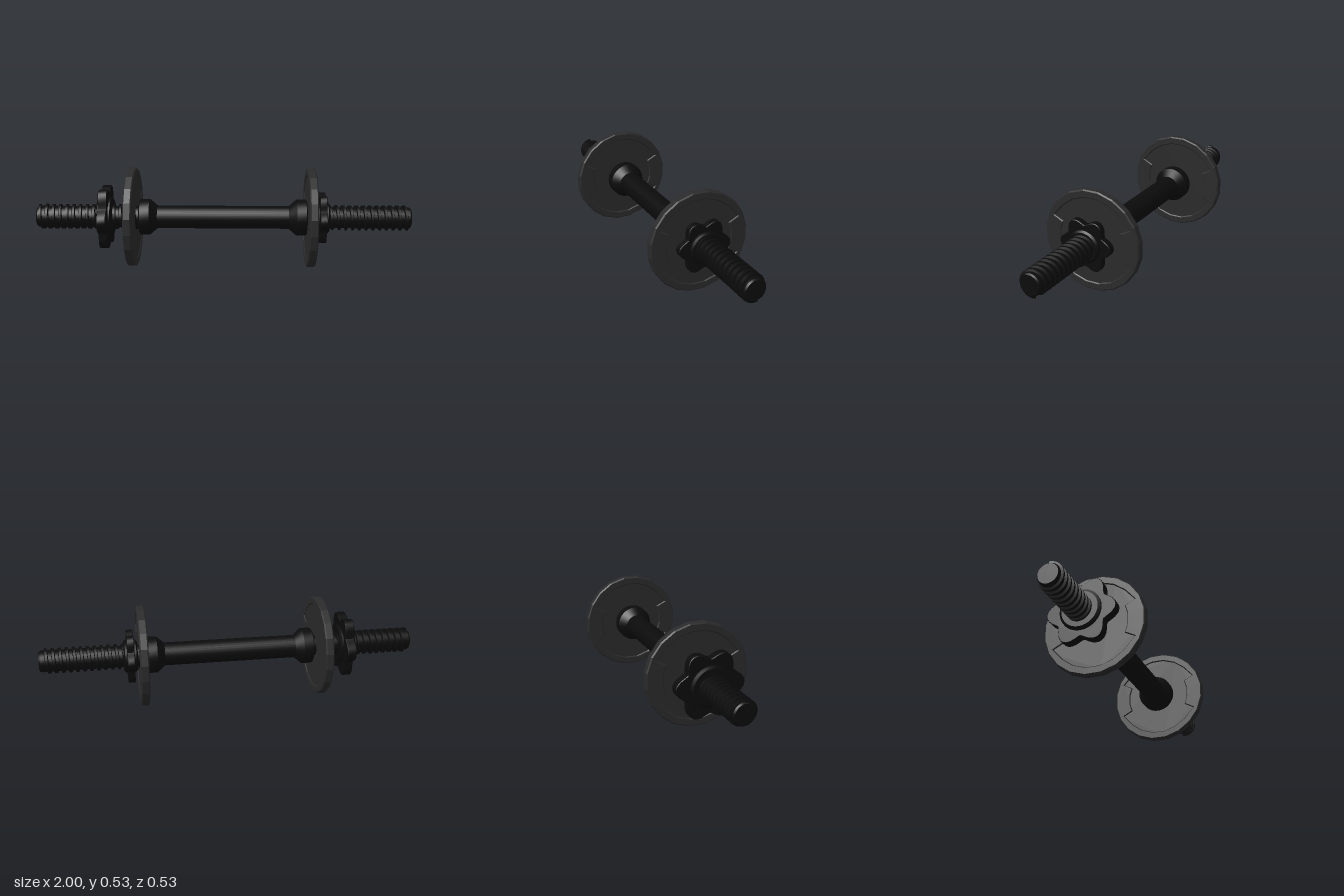
import * as THREE from 'three';
import { toCreasedNormals } from 'three/addons/utils/BufferGeometryUtils.js';

const AXIS_Y = 0.262;
const darkMetal = new THREE.MeshStandardMaterial({ color: 0x0b0b0b });
const plateIron = new THREE.MeshStandardMaterial({ color: 0x2a2a2a, flatShading: true });
const rad = THREE.MathUtils.degToRad;

function part(name, geometry, material) {
  const mesh = new THREE.Mesh(geometry, material);
  mesh.name = name;
  return mesh;
}

// Turned part along x; profile is [x, radius] from low x to high x
function turned(name, profile, segments = 32) {
  const g = new THREE.LatheGeometry(profile.map(([x, r]) => new THREE.Vector2(r, x)), segments);
  g.rotateZ(-Math.PI / 2);
  return part(name, toCreasedNormals(g, rad(30)), darkMetal);
}

// Extrusion centred on its thickness, turned so that it faces along x
function slab(shape, thickness, bevel) {
  const depth = thickness - 2 * bevel;
  const g = new THREE.ExtrudeGeometry(shape, {
    depth, bevelEnabled: true, bevelThickness: bevel, bevelSize: bevel,
    bevelOffset: -bevel, bevelSegments: 1, curveSegments: 8,
  });
  g.translate(0, 0, -depth / 2);
  g.rotateY(Math.PI / 2);
  return g;
}

// Helical ridge with a trapezoid section, swept between x0 and x1
function threadRidge(x0, x1) {
  const pitch = 0.036, steps = 24, inner = 0.052, outer = 0.067;
  const section = [[-0.011, inner], [-0.006, outer], [0.006, outer], [0.011, inner]];
  const count = Math.round(((x1 - x0 - 0.022) / pitch) * steps);
  const pos = [], index = [];
  for (let i = 0; i <= count; i++) {
    const a = (i / steps) * Math.PI * 2;
    const x = x0 + 0.011 + (i / steps) * pitch;
    for (const [dx, r] of section) pos.push(x + dx, r * Math.cos(a), r * Math.sin(a));
  }
  for (let i = 0; i < count; i++) {
    for (let j = 0; j < 3; j++) {
      const a = i * 4 + j, b = a + 1, c = a + 4, d = a + 5;
      index.push(a, b, c, b, d, c);
    }
  }
  const e = count * 4;
  index.push(0, 2, 1, 0, 3, 2, e, e + 1, e + 2, e, e + 2, e + 3);
  const g = new THREE.BufferGeometry();
  g.setAttribute('position', new THREE.Float32BufferAttribute(pos, 3));
  g.setIndex(index);
  const mat = darkMetal.clone();
  mat.side = THREE.DoubleSide;
  return part('threadRidge', toCreasedNormals(g, rad(30)), mat);
}

function polar(r, deg) {
  return new THREE.Vector2(r * Math.cos(rad(deg)), r * Math.sin(rad(deg)));
}

// Twenty-sided weight plate: raised rim with two side tabs around a sunken web
function weightPlate() {
  const plate = new THREE.Group();
  plate.name = 'weightPlate';

  const rimPoints = [];
  for (let i = 0; i < 20; i++) rimPoints.push(polar(0.266, 9 + i * 18));
  const rim = new THREE.Shape(rimPoints);

  const recess = [];
  for (const turn of [0, 180]) {
    for (const a of [-25, -9, 9, 25]) recess.push(polar(0.175, turn + a));
    recess.push(polar(0.232, turn + 25.5));
    for (const a of [45, 63, 81, 99, 117, 135]) recess.push(polar(0.223, turn + a));
    recess.push(polar(0.232, turn + 154.5));
  }
  rim.holes.push(new THREE.Path(recess.reverse()));
  plate.add(part('plateRim', slab(rim, 0.044, 0.006), plateIron));

  const webPoints = [];
  for (let i = 0; i < 20; i++) webPoints.push(polar(0.25, 9 + i * 18));
  plate.add(part('plateWeb', slab(new THREE.Shape(webPoints), 0.034, 0.002), plateIron));
  return plate;
}

// Six-lobed spin nut with a stepped hub
function starNut(radius, hubRadius, starWidth, hubWidth) {
  const nut = new THREE.Group();
  nut.name = 'starNut';
  const points = [];
  for (let i = 0; i < 72; i++) {
    const lobe = Math.pow((1 + Math.cos(rad(i * 30))) / 2, 0.75);
    points.push(polar(radius * (0.76 + 0.24 * lobe), i * 5));
  }
  const star = toCreasedNormals(slab(new THREE.Shape(points), starWidth, 0.003), rad(30));
  nut.add(part('nutLobes', star, darkMetal));

  const h = hubWidth / 2, r = hubRadius;
  nut.add(turned('nutHub', [
    [-h, 0.05], [-h, r * 0.88], [-h + 0.008, r], [h - 0.008, r], [h, r * 0.88], [h, 0.05],
  ]));
  return nut;
}

export function createModel() {
  const model = new THREE.Group();
  model.name = 'dumbbell';
  const assembly = new THREE.Group();
  assembly.name = 'barAssembly';
  assembly.position.y = AXIS_Y;
  model.add(assembly);

  // Bar: smooth grip in the middle, thinner threaded ends
  assembly.add(turned('bar', [
    [-1, 0], [-1, 0.05], [-0.992, 0.056], [-0.44, 0.056], [-0.44, 0.061],
    [0.44, 0.061], [0.44, 0.056], [0.992, 0.056], [1, 0.05], [1, 0],
  ]));
  assembly.add(threadRidge(-0.995, -0.45), threadRidge(0.45, 0.995));

  // Collars that stop the plates, tapering toward the grip
  for (const side of [-1, 1]) {
    const profile = [[0.35, 0.06], [0.392, 0.096], [0.442, 0.096], [0.447, 0.09], [0.447, 0.05]]
      .map(([x, r]) => [side * x, r]);
    if (side < 0) profile.reverse();
    assembly.add(turned(side < 0 ? 'rightCollar' : 'leftCollar', profile));
  }

  // Plates and nuts, with the right side set further out
  for (const x of [-0.484, 0.468]) {
    const plate = weightPlate();
    plate.position.x = x;
    assembly.add(plate);
  }
  const rightNut = starNut(0.176, 0.105, 0.048, 0.082);
  rightNut.position.x = -0.631;
  const leftNut = starNut(0.141, 0.085, 0.038, 0.074);
  leftNut.position.x = 0.53;
  assembly.add(rightNut, leftNut);
  return model;
}
